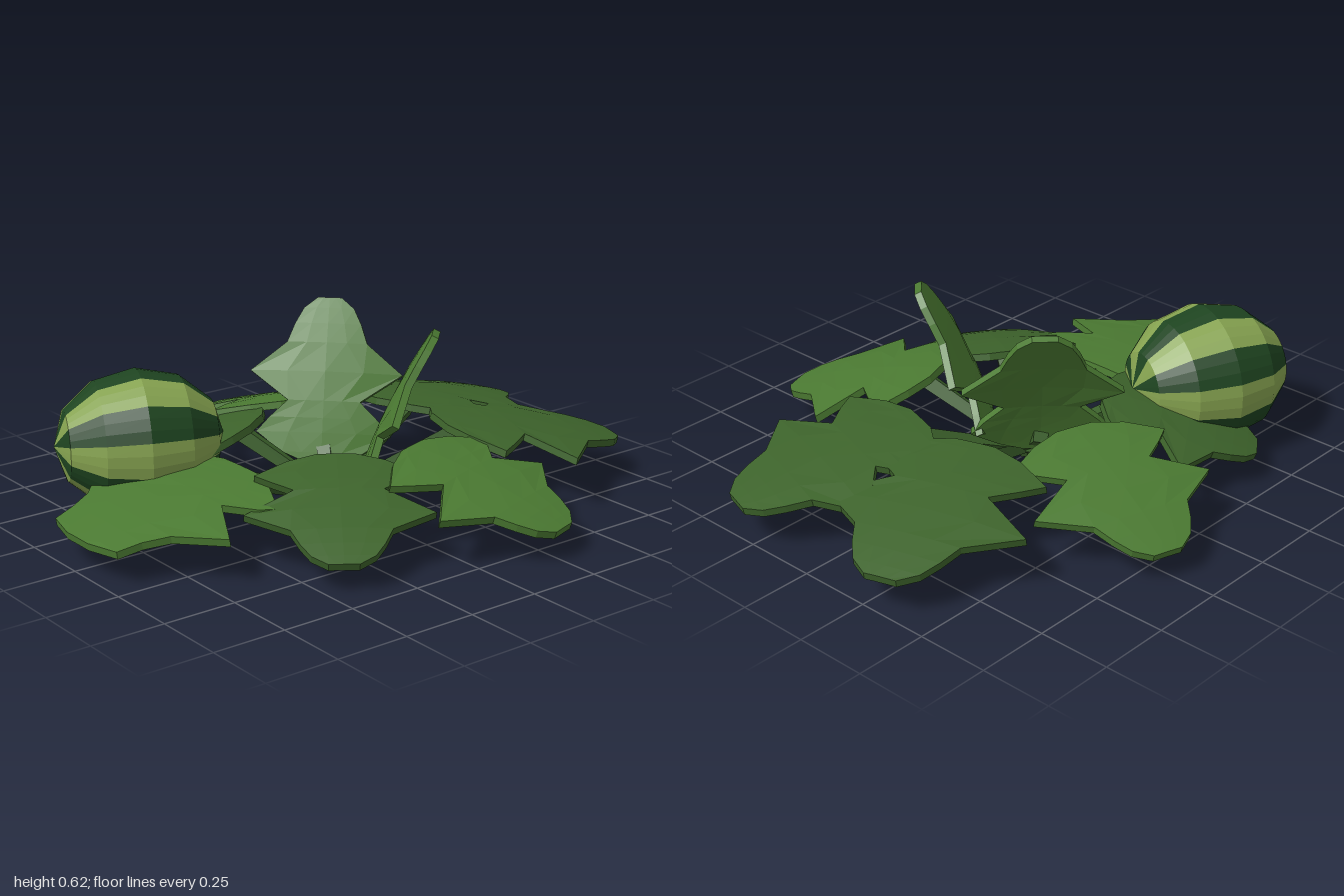
import * as THREE from 'three';

const mat = (color) => new THREE.MeshStandardMaterial({ color, flatShading: true });
const lightLeaf = mat(0x4b7a32);
const darkLeaf = mat(0x3d632b);
const stemMat = mat(0x3a5f2a);
const lightRind = mat(0x86a350);
const darkRind = mat(0x1e4420);

// Lobed leaf blades: rows of [distance along midrib, half width]
const BROAD_ROWS = [
  [-0.32, 0.1], [-0.3, 0.17], [-0.26, 0.25], [-0.22, 0.33], [-0.17, 0.3], [-0.1, 0.2],
  [0, 0.38], [0.12, 0.24], [0.2, 0.2], [0.28, 0.18], [0.31, 0.06],
];
const NARROW_ROWS = [
  [-0.37, 0.08], [-0.33, 0.2], [-0.25, 0.335], [-0.19, 0.27], [-0.12, 0.18],
  [0, 0.38], [0.12, 0.2], [0.2, 0.165], [0.265, 0.125], [0.31, 0.06],
];
const ACROSS = [-1, -0.5, 0, 0.5, 1];
const THICK = 0.025;

function leafGeometry(rows) {
  const pos = [], idx = [], n = ACROSS.length, ring = n * 2;
  for (const [z, w] of rows) {
    const point = (t, drop) => {
      const x = t * w;
      pos.push(x, -0.18 * z * z - 0.2 * x * x - drop, z);
    };
    ACROSS.forEach((t) => point(t, 0));
    [...ACROSS].reverse().forEach((t) => point(t, THICK));
  }
  // skin between neighbouring cross-sections
  for (let i = 0; i < rows.length - 1; i++) {
    for (let j = 0; j < ring; j++) {
      const a = i * ring + j, b = i * ring + ((j + 1) % ring);
      idx.push(a, a + ring, b, b, a + ring, b + ring);
    }
  }
  // end caps
  const last = (rows.length - 1) * ring;
  for (let j = 0; j < n - 1; j++) {
    const a = j, b = j + 1, c = ring - 2 - j, d = ring - 1 - j;
    idx.push(a, b, c, a, c, d);
    idx.push(last + a, last + c, last + b, last + a, last + d, last + c);
  }
  const g = new THREE.BufferGeometry();
  g.setAttribute('position', new THREE.Float32BufferAttribute(pos, 3));
  g.setIndex(idx);
  g.computeVertexNormals();
  return g;
}

// Four-sided tapered stalk between two points
function makeStem(from, to) {
  const dir = to.clone().sub(from);
  const mesh = new THREE.Mesh(new THREE.CylinderGeometry(0.035, 0.024, dir.length(), 4), stemMat);
  mesh.name = 'stem';
  mesh.position.copy(from).add(to).multiplyScalar(0.5);
  mesh.quaternion.setFromUnitVectors(new THREE.Vector3(0, 1, 0), dir.normalize());
  return mesh;
}

export function createModel() {
  const model = new THREE.Group();
  model.name = 'melonPlant';
  const broad = leafGeometry(BROAD_ROWS);
  const narrow = leafGeometry(NARROW_ROWS);
  const root = new THREE.Vector3(0, 0.03, 0);

  // One leaf with its stalk: blade centre, yaw from the front, downward pitch
  function addLeaf(name, geo, material, { at, yaw, pitch, width, length }, side) {
    const group = new THREE.Group();
    group.name = name;
    const blade = new THREE.Mesh(geo, material);
    blade.name = 'blade';
    blade.rotation.set(THREE.MathUtils.degToRad(pitch), THREE.MathUtils.degToRad(yaw) * side, 0, 'YXZ');
    blade.position.set(at[0] * side, at[1], at[2]);
    blade.scale.set(width, 1, length);
    blade.updateMatrix();
    const joint = new THREE.Vector3(0, -0.05, -0.28).applyMatrix4(blade.matrix);
    group.add(blade, makeStem(root, joint));
    model.add(group);
  }

  addLeaf('frontLeaf', broad, lightLeaf,
    { at: [0, 0.178, 0.685], yaw: 0, pitch: 9, width: 1, length: 1 }, 1);
  const pairs = {
    FrontLeaf: [darkLeaf, { at: [0.455, 0.193, 0.315], yaw: 55, pitch: 19, width: 0.79, length: 0.8 }],
    SideLeaf: [lightLeaf, { at: [0.603, 0.198, -0.196], yaw: 108, pitch: 17, width: 0.85, length: 0.86 }],
    BackLeaf: [darkLeaf, { at: [0.233, 0.208, -0.716], yaw: 162, pitch: 11, width: 0.9, length: 0.98 }],
    UprightLeaf: [lightLeaf, { at: [0.18, 0.395, -0.115], yaw: 135, pitch: -64, width: 0.69, length: 0.84 }],
  };
  for (const [name, [material, spec]] of Object.entries(pairs)) {
    addLeaf('left' + name, narrow, material, spec, 1);
    addLeaf('right' + name, narrow, material, spec, -1);
  }

  // Crown where the stalks meet
  const crown = new THREE.Mesh(new THREE.CylinderGeometry(0.05, 0.02, 0.08, 6), stemMat);
  crown.name = 'crown';
  crown.position.y = 0.045;
  model.add(crown);

  // Striped melon built from twelve alternating wedges
  const melon = new THREE.Group();
  melon.name = 'melon';
  const step = Math.PI / 6;
  for (let i = 0; i < 12; i++) {
    const wedge = new THREE.SphereGeometry(1, 1, 6, (i - 0.5) * step, step);
    wedge.scale(0.245, 0.285, 0.238);
    wedge.rotateX(Math.PI / 2);
    const stripe = new THREE.Mesh(wedge, i % 2 ? darkRind : lightRind);
    stripe.name = i % 2 ? 'darkStripe' : 'lightStripe';
    melon.add(stripe);
  }
  melon.position.set(-0.352, 0.24, 0.53);
  melon.rotation.y = THREE.MathUtils.degToRad(-22);
  model.add(melon);

  return model;
}
